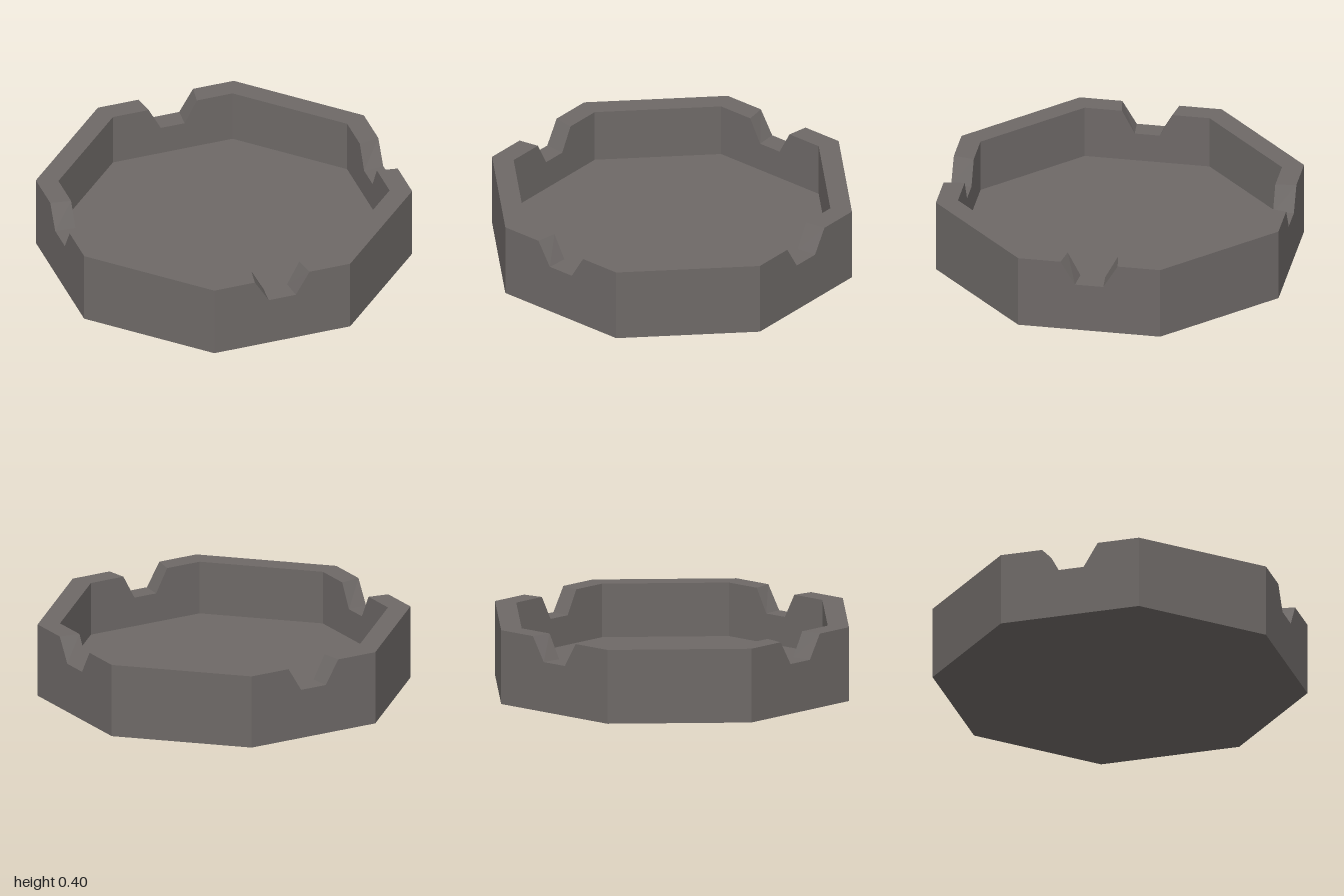
import * as THREE from 'three';

const SIDES = 8, HEIGHT = 0.4, FLOOR = 0.11, INNER = 0.88;
const HALF = Math.sin(Math.PI / SIDES);      // half the length of one outer side
const APOTHEM = Math.cos(Math.PI / SIDES);   // centre to the middle of a side

// One straight wall, tapering towards the centre, optionally with a notch in its rim
function wallGeometry(notched) {
  const points = [[-HALF, 0], [HALF, 0], [HALF, HEIGHT]];
  if (notched) points.push([0.154, HEIGHT], [0.076, 0.27], [-0.076, 0.27], [-0.154, HEIGHT]);
  points.push([-HALF, HEIGHT]);
  const shape = new THREE.Shape(points.map(([x, y]) => new THREE.Vector2(x, y)));
  const geometry = new THREE.ExtrudeGeometry(shape, { depth: 1, bevelEnabled: false });
  const pos = geometry.attributes.position;
  for (let i = 0; i < pos.count; i++) {
    const s = pos.getZ(i) > 0.5 ? 1 : INNER;
    pos.setX(i, pos.getX(i) * s);
    pos.setZ(i, APOTHEM * s);
  }
  geometry.computeVertexNormals();
  return geometry;
}

export function createModel() {
  const model = new THREE.Group();
  model.name = 'octagonalTray';
  const stone = new THREE.MeshStandardMaterial({ color: 0x6e6967, flatShading: true });
  stone.name = 'warm grey';

  // Floor slab inside the ring of walls
  const floor = new THREE.Mesh(new THREE.CylinderGeometry(INNER, INNER, FLOOR, SIDES), stone);
  floor.name = 'floor';
  floor.position.y = FLOOR / 2;
  model.add(floor);

  // Plain and notched walls alternate around the rim
  const plain = wallGeometry(false), notched = wallGeometry(true);
  for (let i = 0; i < SIDES; i++) {
    const hasNotch = i % 2 === 1;
    const wall = new THREE.Mesh(hasNotch ? notched : plain, stone);
    wall.name = hasNotch ? 'notchedWall' : 'plainWall';
    wall.rotation.y = (i + 0.5) * 2 * Math.PI / SIDES;
    model.add(wall);
  }
  return model;
}
